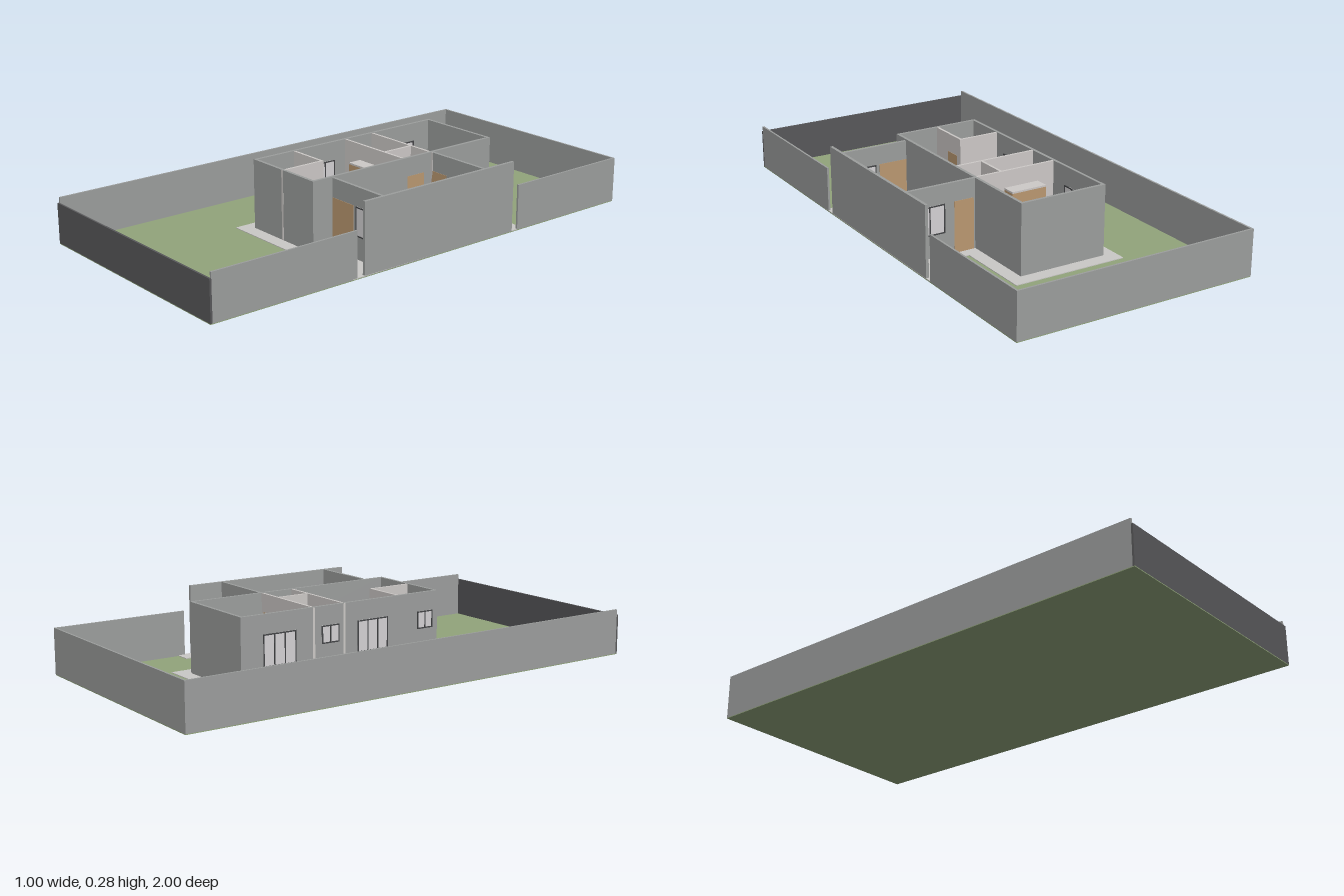
import * as THREE from 'three';

const mat = (name, color, side = THREE.FrontSide) => {
  const m = new THREE.MeshStandardMaterial({ color, side });
  m.name = name;
  return m;
};

export function createModel() {
  const lawn = mat('lawn green', 0x91a47b);
  const paving = mat('pale paving', 0xcac8c6);
  const wall = mat('wall grey', 0x9c9e9d);
  const inner = mat('inner wall white', 0xcdc9c7);
  const dark = mat('dark grey', 0x58585a);
  const frame = mat('frame charcoal', 0x444547);
  const glass = mat('pale glass', 0xd4d2d4);
  const wood = mat('wood', 0xba9871);

  const root = new THREE.Group();
  root.name = 'walledHouse';
  const G = 0.003; // lawn top
  const F = 0.006; // floor top
  const H = 0.285; // house wall top
  const L = 0.185; // garden wall top
  const D = 0.21;  // door and window head

  // Box from its limits on each axis
  const box = (name, m, x0, x1, y0, y1, z0, z1, parent = root) => {
    const mesh = new THREE.Mesh(new THREE.BoxGeometry(x1 - x0, y1 - y0, z1 - z0), m);
    mesh.position.set((x0 + x1) / 2, (y0 + y1) / 2, (z0 + z1) / 2);
    mesh.name = name;
    parent.add(mesh);
    return mesh;
  };

  // Plot and paving
  box('lawn', lawn, -0.5, 0.5, 0, G, -1, 1);
  box('housePaving', paving, -0.21, 0.26, G, F, -0.63, 0.39);
  box('terracePaving', paving, 0.26, 0.43, G, F, -0.31, 0.31);
  box('sidePaving', paving, 0.43, 0.5, G, F, -0.47, 0.39);

  // Garden walls
  const T = 0.008;
  box('frontGardenWall', dark, -0.5, 0.5, G, 0.163, 1 - T, 1);
  box('backGardenWall', wall, -0.5, 0.5, G, L, -1, -1 + T);
  box('rightGardenWall', wall, -0.5, -0.5 + T, G, L, -1 + T, 1 - T);
  box('leftGardenWallFront', wall, 0.5 - T, 0.5, G, L, 0.37, 1 - T);
  box('leftGardenWallBack', wall, 0.5 - T, 0.5, G, L, -1 + T, -0.44);
  box('leftTallWall', wall, 0.488, 0.5, G, H, -0.41, 0.335);

  // House outer walls
  const W = 0.012, X0 = -0.16, X1 = 0.205, Z0 = -0.575, Z1 = 0.335;
  box('houseFrontWall', wall, X0, X1, F, H, Z1 - W, Z1);
  box('houseBackWall', wall, X0, X1, F, H, Z0, Z0 + W);
  box('houseRightWall', wall, X0, X0 + W, F, H, Z0 + W, Z1 - W);
  box('houseLeftWall', wall, X1 - W, X1, F, H, Z0 + W, Z1 - W);

  // Inner partitions, whose ends show as thin strips outside
  const P = 0.005, E = 0.0008;
  box('bedroomPartition', inner, X0 - E, X1 - W, F, H - E, -0.255 - P, -0.255 + P);
  box('hallPartition', inner, X0 - E, X1 - W, F, H - E, -0.115 - P, -0.115 + P);
  box('bathPartition', inner, 0.085 - P, 0.085 + P, F, H - E, -0.25, -0.12);
  box('washroomPartition', inner, X0 + W, 0.025, F, H - E, 0.14, 0.15);
  box('washroomSideWall', inner, 0.015, 0.025, F, H - E, 0.15, Z1 + E);

  // Side rooms: front and back walls between house and tall wall
  box('sideFrontWall', wall, 0.215, 0.488, F, H, 0.239, 0.251);
  box('sideBackWall', wall, X1, 0.488, F, H, -0.265, -0.253);
  box('sideBackPost', inner, X1, 0.216, F, H - E, -0.253, -0.2515);

  // Panel set in a wall: axis 'x' runs along x at z = at, 'z' runs along z at x = at
  const panel = (name, m, axis, at, a, b, y0, y1, half, parent) => axis === 'x'
    ? box(name, m, a, b, y0, y1, at - half, at + half, parent)
    : box(name, m, at - half, at + half, y0, y1, a, b, parent);

  const windowUnit = (axis, at, a, b, y0, panes = 2) => {
    const g = new THREE.Group();
    g.name = 'window';
    panel('glass', glass, axis, at, a, b, y0, D, 0.0075, g);
    const s = 0.0025, h = 0.009;
    panel('sill', frame, axis, at, a, b, y0, y0 + 2 * s, h, g);
    panel('head', frame, axis, at, a, b, D - 2 * s, D, h, g);
    for (let i = 0; i <= panes; i++) {
      const c = a + s + (b - a - 2 * s) * i / panes;
      panel('upright', frame, axis, at, c - s, c + s, y0 + 2 * s, D - 2 * s, h, g);
    }
    root.add(g);
  };
  const RX = X0 + W / 2;
  windowUnit('z', RX, -0.48, -0.335, 0.085, 3);
  windowUnit('z', RX, -0.22, -0.14, 0.14);
  windowUnit('z', RX, -0.055, 0.09, 0.085, 3);
  windowUnit('z', RX, 0.235, 0.31, 0.14);
  windowUnit('x', 0.245, 0.35, 0.463, 0.095);
  windowUnit('x', -0.259, 0.335, 0.463, 0.095);

  // Doors
  panel('frontDoor', wood, 'x', 0.245, 0.216, 0.335, F, D, 0.0075);
  panel('backDoor', wood, 'x', -0.259, 0.212, 0.295, F, D, 0.0075);
  panel('hallDoor', wood, 'z', X1 - W / 2, -0.215, -0.13, F, D, 0.0075);
  panel('bedroomDoor', wood, 'x', -0.255, 0.105, 0.18, F, D, 0.0065);
  panel('livingDoor', wood, 'x', -0.115, 0.105, 0.18, F, D, 0.0065);
  panel('washroomDoor', wood, 'z', 0.02, 0.165, 0.235, F, D, 0.0065);

  // Wardrobes with pale tops
  for (const [x0, x1, z0, z1] of [[-0.05, 0.08, -0.105, -0.05], [-0.07, 0.08, -0.325, -0.27]]) {
    box('wardrobe', wood, x0, x1, F, 0.215, z0, z1);
    box('wardrobeTop', inner, x0, x1, 0.215, 0.222, z0, z1);
  }

  // Bed
  box('bedBase', frame, -0.047, 0.092, F, 0.035, -0.56, -0.363);
  box('mattress', inner, -0.042, 0.087, 0.035, 0.06, -0.555, -0.368);

  // Kitchen counter with sink, and washroom units
  box('counter', dark, 0.422, 0.486, F, 0.09, -0.235, -0.06);
  box('sink', inner, 0.43, 0.475, 0.09, 0.094, -0.195, -0.15);
  box('bathCabinet', dark, -0.087, -0.025, F, 0.085, -0.247, -0.203);
  box('washroomCabinet', dark, -0.103, -0.042, F, 0.085, 0.275, 0.322);
  box('washStand', inner, -0.14, -0.08, F, 0.05, 0.205, 0.245);

  // Sofa
  box('sofaSeat', wall, 0.4, 0.465, F, 0.05, -0.01, 0.197);
  box('sofaBack', wall, 0.465, 0.486, F, 0.095, -0.01, 0.197);

  return root;
}
